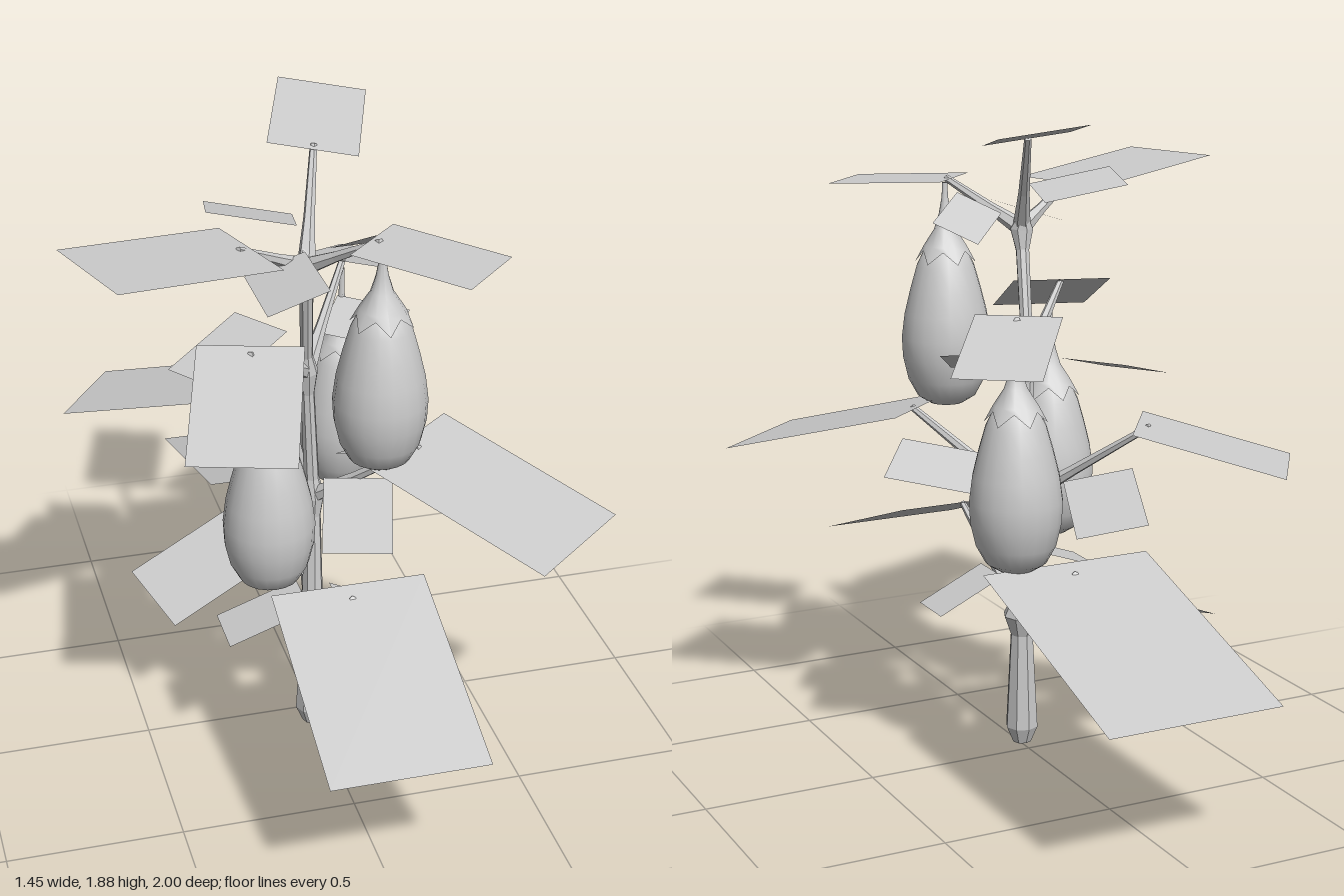
import * as THREE from 'three';

const stemMat = new THREE.MeshStandardMaterial({ color: 0xcccccc, flatShading: true });
const fruitMat = new THREE.MeshStandardMaterial({ color: 0xcccccc, side: THREE.DoubleSide });
const leafMat = new THREE.MeshStandardMaterial({ color: 0xcccccc, side: THREE.DoubleSide });

// Unit leaf reaching along +z, held slightly in from its inner edge
const leafGeometry = new THREE.PlaneGeometry(1, 1.48).rotateX(-Math.PI / 2).translate(0, 0, 0.62);

// Leaf held at a point; heading, upward pitch and roll in degrees
function leaf(point, width, heading, pitch, roll = 0) {
  const m = new THREE.Mesh(leafGeometry, leafMat);
  m.name = 'leaf';
  const rad = THREE.MathUtils.degToRad;
  m.rotation.set(rad(-pitch), rad(heading), rad(roll), 'YXZ');
  m.scale.setScalar(width);
  m.position.copy(point);
  return m;
}

// Tapered limb through points with one radius each, closed at both ends
function limb(name, points, radii, sides) {
  const pos = [], idx = [], n = points.length;
  points.forEach((p, i) => {
    const dir = points[Math.min(i + 1, n - 1)].clone().sub(points[Math.max(i - 1, 0)]).normalize();
    const q = new THREE.Quaternion().setFromUnitVectors(new THREE.Vector3(0, 1, 0), dir);
    for (let k = 0; k < sides; k++) {
      const a = k / sides * Math.PI * 2;
      const c = new THREE.Vector3(Math.sin(a), 0, Math.cos(a)).multiplyScalar(radii[i]);
      pos.push(...c.applyQuaternion(q).add(p).toArray());
    }
  });
  for (let i = 0; i < n - 1; i++) {
    for (let k = 0; k < sides; k++) {
      const a = i * sides + k, b = i * sides + (k + 1) % sides;
      idx.push(a, b, b + sides, a, b + sides, a + sides);
    }
  }
  const top = (n - 1) * sides;
  for (let k = 1; k < sides - 1; k++) idx.push(0, k + 1, k, top, top + k, top + k + 1);
  const g = new THREE.BufferGeometry();
  g.setAttribute('position', new THREE.Float32BufferAttribute(pos, 3));
  g.setIndex(idx);
  g.computeVertexNormals();
  const m = new THREE.Mesh(g, stemMat);
  m.name = name;
  return m;
}

const lathe = (profile, segments) =>
  new THREE.LatheGeometry(profile.map(p => new THREE.Vector2(...p)), segments);

// Hanging fruit: rounded body, pointed calyx and stalk
function fruit(x, y, z, height) {
  const group = new THREE.Group();
  group.name = 'fruit';
  const body = new THREE.Mesh(lathe([[0, 0], [0.05, 0.003], [0.085, 0.025], [0.112, 0.075],
    [0.127, 0.14], [0.13, 0.2], [0.121, 0.27], [0.104, 0.34], [0.084, 0.41], [0.06, 0.46], [0, 0.5]], 20), fruitMat);
  body.name = 'fruitBody';

  const rings = [[0.088, 0.42], [0.062, 0.468], [0.032, 0.515], [0.018, 0.56], [0.009, 0.61], [0.008, height]];
  const g = lathe(rings, 12);
  const p = g.attributes.position;
  // lift every other rim vertex to form the calyx points
  for (let i = 1; i < 12; i += 2) {
    const k = i * rings.length;
    p.setXYZ(k, p.getX(k) * 0.79, 0.455, p.getZ(k) * 0.79);
  }
  g.computeVertexNormals();
  const calyx = new THREE.Mesh(g, fruitMat);
  calyx.name = 'calyx';
  group.add(body, calyx);
  group.position.set(x, y, z);
  return group;
}

export function createModel() {
  const plant = new THREE.Group();
  plant.name = 'fruitPlant';
  const vec = (x, y, z) => new THREE.Vector3(x, y, z);

  // Main stem follows a bent centre line and swells at each fork
  const forks = [vec(-0.005, 0.4, 0.055), vec(0, 0.76, 0.032), vec(-0.02, 1.17, 0.045), vec(-0.045, 1.53, 0.135)];
  const swell = [0.055, 0.036, 0.033, 0.035], shaft = [0.034, 0.025, 0.02, 0.02];
  const points = [vec(-0.01, 0, 0.065), vec(-0.01, 0.05, 0.065)], radii = [0.028, 0.049];
  forks.forEach((f, i) => {
    const below = i ? forks[i - 1] : points[1];
    if (i) {
      points.push(below.clone().lerp(f, 0.15));
      radii.push(shaft[i - 1] * 0.9);
    }
    points.push(below.clone().lerp(f, 0.83), f);
    radii.push(shaft[i], swell[i]);
  });
  points.push(vec(-0.04, 1.57, 0.115));
  radii.push(0.015);
  plant.add(limb('stem', points, radii, 8));

  // Branches: fork, tip, then width, heading, pitch and roll of the leaf on the tip
  const branch = (fork, tip, ...leafShape) => {
    const start = forks[fork];
    plant.add(limb('branch', [start, start.clone().lerp(tip, 0.4), tip], [0.026, 0.016, 0.01], 6));
    plant.add(leaf(tip, ...leafShape));
  };
  branch(0, vec(0.01, 0.648, 0.43), 0.44, 0, -19);
  branch(0, vec(0.025, 0.637, -0.34), 0.51, 180, -17);
  branch(1, vec(0.244, 1.008, 0.274), 0.39, 40, -14.5);
  branch(1, vec(-0.248, 1.011, -0.263), 0.295, -125, -14.5);
  branch(2, vec(-0.23, 1.343, 0.25), 0.29, -17, -20);
  branch(2, vec(0.171, 1.35, -0.272), 0.24, 144, -17);
  branch(3, vec(0.107, 1.662, 0.322), 0.235, 45, -3);
  branch(3, vec(-0.256, 1.646, 0.244), 0.325, -72, 6);
  branch(3, vec(0.022, 1.806, -0.04), 0.25, 161, 9, 8);

  // Small leaves close to each fork, from the lowest up
  const smallLeaf = (x, y, z, ...shape) => plant.add(leaf(vec(x, y, z), ...shape));
  smallLeaf(-0.116, 0.533, -0.187, 0.273, -77, -22, -10);
  smallLeaf(-0.1, 0.553, 0.237, 0.168, -90, -19.5);
  smallLeaf(0.046, 0.497, 0.185, 0.15, 90, -25);
  smallLeaf(-0.128, 0.854, -0.188, 0.2, 160, -17, 11);
  smallLeaf(0.096, 0.859, 0.171, 0.194, -16, -16.5);
  smallLeaf(0.145, 0.86, -0.02, 0.2, 53, 8, -20);
  smallLeaf(-0.104, 1.199, -0.211, 0.2, -55, -15);
  smallLeaf(0.124, 1.219, -0.185, 0.15, 54, -2.5, 24);
  smallLeaf(-0.138, 1.557, 0.18, 0.175, 0, 0, 18);
  smallLeaf(0.08, 1.6, 0.165, 0.14, 135, -17, -25);
  smallLeaf(-0.078, 1.641, 0.061, 0.165, -102, 10, 12);

  // Fruits hung from the upper branches
  plant.add(fruit(0.115, 1.0, 0.31, 0.65), fruit(-0.17, 0.595, 0.2, 0.69), fruit(0.163, 0.645, -0.248, 0.69));
  return plant;
}
